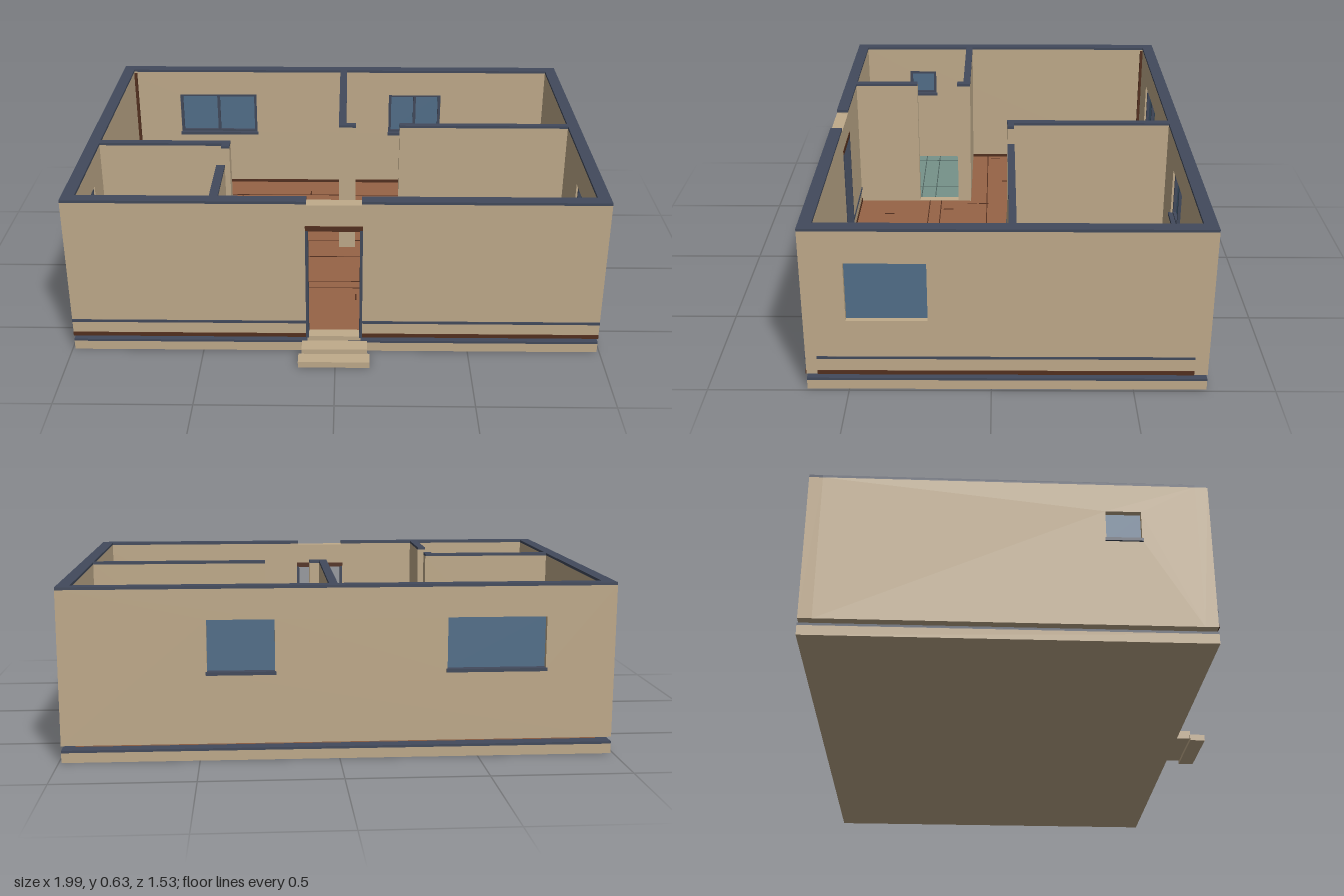
import * as THREE from 'three';

const mat = (name, color) => {
  const m = new THREE.MeshStandardMaterial({ color });
  m.name = name;
  return m;
};

export function createModel() {
  const house = new THREE.Group();
  house.name = 'house';

  const plaster = mat('beige plaster', 0xc0ab8b);
  const slate = mat('slate trim', 0x424a5c);
  const wood = mat('wood floor', 0x966446);
  const seam = mat('dark brown', 0x53301f);
  const tile = mat('green tile', 0x76928a);
  const grout = mat('tile grout', 0x4c605c);
  const glass = mat('blue glass', 0x526f8a);

  const BASE = 0.062, CAP = 0.62, TOP = 0.63, FLOOR = 0.064;

  // Box given by its lower and upper corners
  const block = (name, m, x0, x1, y0, y1, z0, z1, parent = house) => {
    const mesh = new THREE.Mesh(new THREE.BoxGeometry(x1 - x0, y1 - y0, z1 - z0), m);
    mesh.position.set((x0 + x1) / 2, (y0 + y1) / 2, (z0 + z1) / 2);
    mesh.name = name;
    parent.add(mesh);
    return mesh;
  };

  // Wall with window holes; along 'x' or 'z' from a to b, between lo and hi across
  const wall = (name, axis, a, b, lo, hi, windows = []) => {
    const s = new THREE.Shape();
    s.moveTo(a, BASE).lineTo(b, BASE).lineTo(b, CAP).lineTo(a, CAP).closePath();
    for (const [u0, u1, v0, v1] of windows) {
      const h = new THREE.Path();
      h.moveTo(u0, v0).lineTo(u0, v1).lineTo(u1, v1).lineTo(u1, v0).closePath();
      s.holes.push(h);
    }
    const g = new THREE.ExtrudeGeometry(s, { depth: hi - lo, bevelEnabled: false });
    if (axis === 'z') g.rotateY(-Math.PI / 2).translate(hi, 0, 0);
    else g.translate(0, 0, lo);
    const mesh = new THREE.Mesh(g, plaster);
    mesh.name = name;
    house.add(mesh);
    if (axis === 'z') block(name + 'Cap', slate, lo, hi, CAP, TOP, a, b);
    else block(name + 'Cap', slate, a, b, CAP, TOP, lo, hi);
  };

  // Framed window with its local +z facing outdoors
  const makeWindow = (name, w, y0, y1, sashes, sill) => {
    const g = new THREE.Group();
    g.name = name;
    const h = w / 2, f = 0.012;
    block('glass', glass, -h, h, y0, y1, -0.004, 0.004, g);
    block('frameBottom', slate, -h, h, y0, y0 + f, -0.016, 0.003, g);
    block('frameTop', slate, -h, h, y1 - f, y1, -0.016, 0.003, g);
    for (let i = 0; i <= sashes; i++) {
      const x = -h + f / 2 + (w - f) * i / sashes;
      block('mullion', slate, x - f / 2, x + f / 2, y0, y1, -0.016, 0.003, g);
    }
    if (sill) block('sill', slate, -h - 0.004, h + 0.004, y0 - 0.008, y0 + 0.004, -0.033, 0.033, g);
    house.add(g);
    return g;
  };

  // Plinth, slate edge and entrance steps
  block('plinth', plaster, -0.99, 0.99, 0, 0.036, -0.758, 0.648);
  block('plinthEdge', slate, -0.99, 0.99, 0.036, 0.045, -0.758, 0.648);
  block('lowerStep', plaster, -0.138, 0.128, 0, 0.024, 0.705, 0.763);
  block('upperStep', plaster, -0.126, 0.12, 0.012, 0.044, 0.648, 0.708);

  // Floors
  block('woodFloorBack', wood, -0.945, 0.945, 0.045, FLOOR, -0.71, 0.12);
  block('woodFloorFront', wood, -0.44, 0.945, 0.045, FLOOR, 0.12, 0.602);
  block('tileFloor', tile, -0.945, -0.44, 0.045, FLOOR, 0.12, 0.602);
  block('threshold', plaster, -0.457, -0.425, FLOOR, FLOOR + 0.003, 0.16, 0.335);

  // Plank seams and staggered joints
  const y1 = FLOOR + 0.001;
  for (const z of [-0.565, -0.415, -0.265, -0.115, 0.03, 0.238, 0.29])
    block('plankSeam', seam, z > 0.1 ? -0.425 : -0.945, 0.945, FLOOR - 0.002, y1, z - 0.002, z + 0.002);
  let seed = 11;
  const rand = () => (seed = (seed * 16807) % 2147483647) / 2147483647;
  for (let r = 0; r < 25; r++) {
    const z = -0.69 + r * 0.0525, left = z > 0.08 ? -0.4 : -0.93;
    for (let k = 0; k < 2; k++) {
      const x = left + (0.93 - left) * (k + rand()) / 2;
      block('plankJoint', seam, x - 0.003, x + 0.003, FLOOR - 0.002, y1, z - 0.022, z + 0.022);
    }
  }
  for (const z of [0.268, 0.332]) block('tileJoint', grout, -0.945, -0.457, FLOOR - 0.002, y1, z - 0.002, z + 0.002);
  for (const x of [-0.888, -0.575]) block('tileJoint', grout, x - 0.002, x + 0.002, FLOOR - 0.002, y1, 0.135, 0.602);

  // Outer walls
  wall('backWall', 'x', -0.99, 0.99, -0.758, -0.71, [[-0.74, -0.385, 0.32, 0.51], [0.23, 0.47, 0.32, 0.51]]);
  wall('leftWall', 'z', -0.71, 0.602, 0.943, 0.99, [[0.218, 0.5, 0.277, 0.5]]);
  wall('rightWall', 'z', -0.71, 0.602, -0.99, -0.943, [[0.28, 0.405, 0.397, 0.51]]);
  wall('frontWallRight', 'x', -0.99, -0.105, 0.602, 0.648);
  wall('frontWallLeft', 'x', 0.095, 0.99, 0.602, 0.648);
  block('doorLintel', plaster, -0.105, 0.095, 0.52, 0.616, 0.602, 0.648);

  // Inner walls
  wall('bedroomWall', 'z', -0.71, -0.085, 0.005, 0.036);
  wall('bedroomStub', 'x', 0.005, 0.075, -0.085, -0.058);
  wall('bedroomFrontWall', 'x', 0.255, 0.943, -0.085, -0.058);
  wall('bathroomBackWall', 'x', -0.943, -0.425, 0.103, 0.133);
  wall('bathroomStub', 'z', 0.133, 0.16, -0.457, -0.425);
  wall('bathroomSideWall', 'z', 0.335, 0.602, -0.457, -0.425);
  block('stubRail', slate, 0.005, 0.075, 0.175, 0.183, -0.058, -0.055);

  // Windows
  makeWindow('backWindowLarge', 0.355, 0.32, 0.51, 2, true).position.set(-0.5625, 0, -0.734);
  makeWindow('backWindowSmall', 0.24, 0.32, 0.51, 2, true).position.set(0.35, 0, -0.734);
  makeWindow('leftWindow', 0.282, 0.277, 0.5, 2, false).position.set(0.966, 0, 0.359);
  makeWindow('rightWindow', 0.125, 0.397, 0.51, 1, true).position.set(-0.964, 0, 0.3425);
  for (const g of house.children) {
    if (g.name.startsWith('backWindow')) g.rotation.y = Math.PI;
    if (g.name === 'leftWindow') g.rotation.y = Math.PI / 2;
    if (g.name === 'rightWindow') g.rotation.y = -Math.PI / 2;
  }

  // Door frame
  for (const x of [-0.105, 0.095])
    block('doorJamb', slate, x - 0.005, x + 0.005, 0.06, 0.515, 0.6, 0.652);
  block('doorHead', seam, -0.11, 0.1, 0.512, 0.532, 0.6, 0.652);
  block('doorSill', plaster, -0.105, 0.095, 0.045, FLOOR, 0.602, 0.648);

  // Rails and skirting on both faces of the front wall, and on the left wall
  for (const [a, b] of [[-0.99, -0.11], [0.1, 0.99]]) {
    block('frontRail', slate, a, b, 0.122, 0.132, 0.648, 0.651);
    block('frontSkirting', seam, a, b, 0.062, 0.077, 0.648, 0.651);
    const c = Math.max(a, -0.943), d = Math.min(b, 0.943);
    block('innerFrontRail', slate, c, d, 0.122, 0.132, 0.599, 0.602);
    block('innerFrontSkirting', seam, c, d, 0.062, 0.077, 0.599, 0.602);
  }
  block('leftRail', slate, 0.99, 0.993, 0.125, 0.134, -0.71, 0.608);
  block('leftSkirting', seam, 0.99, 0.993, 0.062, 0.077, -0.71, 0.608);
  block('innerLeftSkirting', seam, 0.94, 0.943, 0.062, 0.077, -0.71, 0.602);
  block('innerRightSkirting', seam, -0.943, -0.94, 0.062, 0.077, -0.71, 0.103);
  block('innerBackSkirting', seam, -0.943, 0.943, 0.062, 0.077, -0.71, -0.707);

  // Corner pipe
  block('cornerPipe', seam, -0.943, -0.931, 0.062, 0.615, -0.71, -0.698);

  return house;
}
